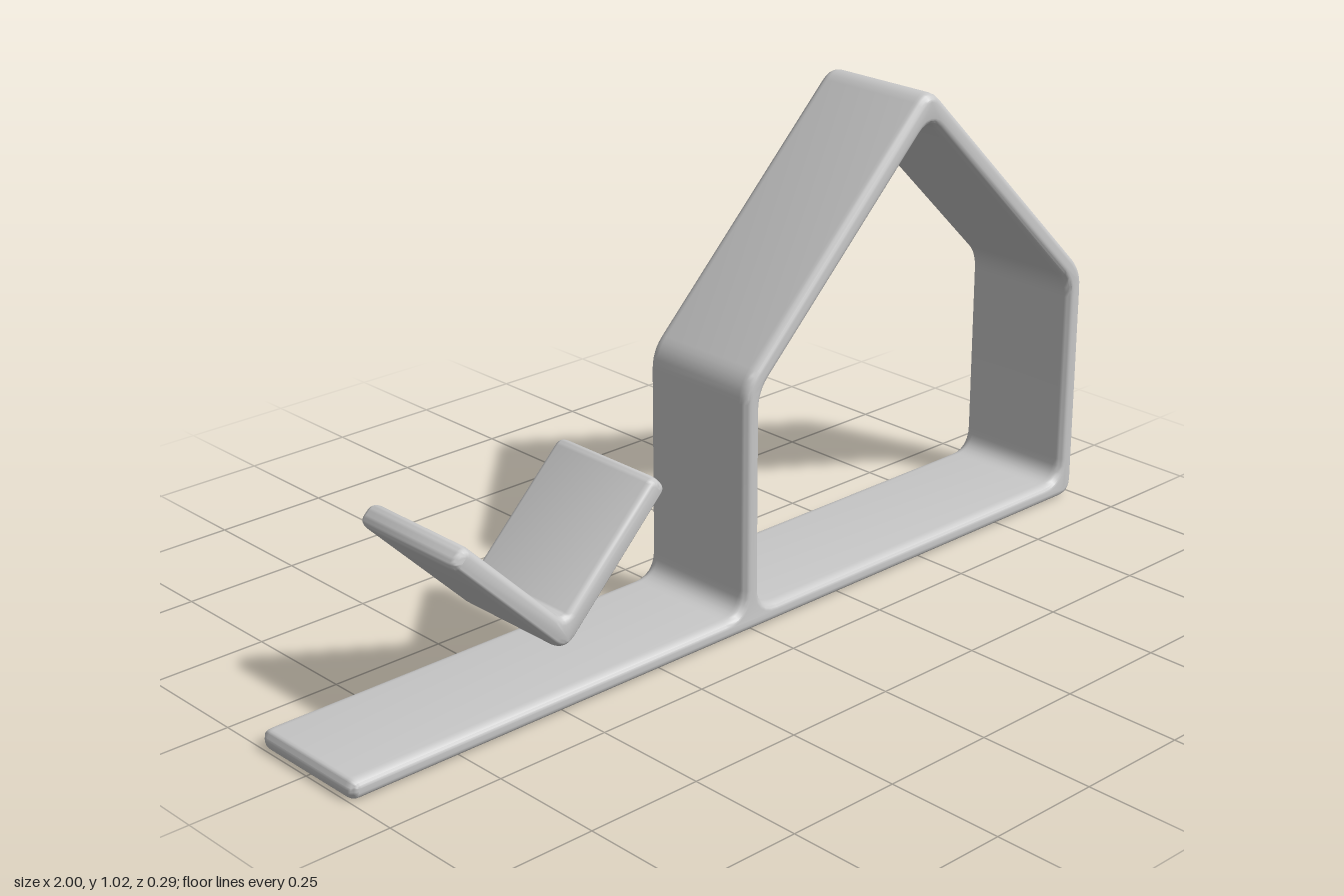
import * as THREE from 'three';
import { toCreasedNormals } from 'three/addons/utils/BufferGeometryUtils.js';

// Closed outline from [x, y, cornerCut] points, each corner rounded off.
function roundedPath(points, path) {
  const n = points.length;
  const along = (from, to, cut) => {
    const a = new THREE.Vector2(from[0], from[1]);
    const b = new THREE.Vector2(to[0], to[1]);
    return b.sub(a).setLength(cut).add(a);
  };
  points.forEach((p, i) => {
    const start = along(p, points[(i + n - 1) % n], p[2]);
    const end = along(p, points[(i + 1) % n], p[2]);
    if (i === 0) path.moveTo(start.x, start.y);
    else path.lineTo(start.x, start.y);
    path.quadraticCurveTo(p[0], p[1], end.x, end.y);
  });
  path.closePath();
  return path;
}

// Soft-edged band: the outline is swept along z, centred on z = 0.
function band(name, shape, halfDepth, material) {
  const bevel = 0.016;
  const edge = 0.022;
  const geometry = new THREE.ExtrudeGeometry(shape, {
    depth: 2 * (halfDepth - edge),
    bevelEnabled: true,
    bevelThickness: edge,
    bevelSize: bevel,
    bevelOffset: -bevel,
    bevelSegments: 5,
    curveSegments: 6,
  });
  geometry.translate(0, 0, -(halfDepth - edge));
  const mesh = new THREE.Mesh(toCreasedNormals(geometry, 0.7), material);
  mesh.name = name;
  return mesh;
}

export function createModel() {
  const group = new THREE.Group();
  group.name = 'houseShelf';
  const grey = new THREE.MeshStandardMaterial({ color: 0xc8c8c8 });
  grey.name = 'light grey';

  // House frame with the long base plank
  const house = roundedPath([
    [-1, 0.003, 0.02], [0.996, 0.003, 0.04], [0.996, 0.535, 0.04],
    [0.485, 1.04, 0.045], [-0.027, 0.535, 0.04],
    [-0.027, 0.045, 0.05], [-1, 0.045, 0.02],
  ], new THREE.Shape());
  house.holes.push(roundedPath([
    [0.015, 0.045, 0.05], [0.015, 0.513, 0.035], [0.485, 0.972, 0.04],
    [0.952, 0.513, 0.035], [0.952, 0.045, 0.05],
  ], new THREE.Path()));
  group.add(band('houseFrame', house, 0.141, grey));

  // Floating V-shaped holder above the plank
  const holder = roundedPath([
    [-0.497, 0.124, 0.04], [-0.234, 0.388, 0.02], [-0.268, 0.422, 0.02],
    [-0.497, 0.195, 0.02], [-0.726, 0.422, 0.02], [-0.762, 0.388, 0.02],
  ], new THREE.Shape());
  group.add(band('vHolder', holder, 0.143, grey));

  return group;
}
